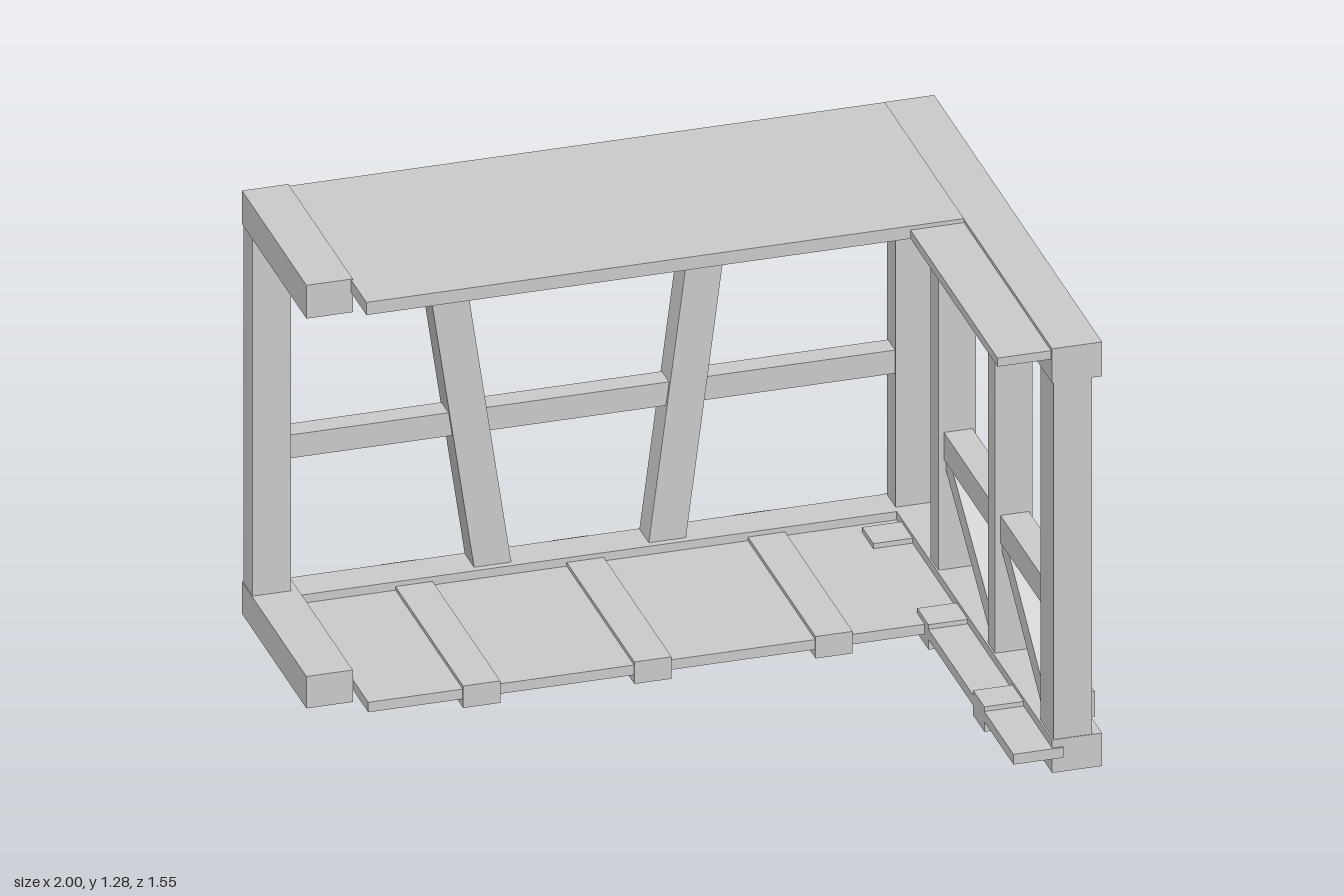
import * as THREE from 'three';

const material = new THREE.MeshStandardMaterial({ color: 0xcccccc, flatShading: true });

export function createModel() {
  const model = new THREE.Group();
  model.name = 'timberFrame';

  const add = (name, geometry) => {
    const mesh = new THREE.Mesh(geometry, material);
    mesh.name = name;
    model.add(mesh);
    return mesh;
  };

  // Box given by its ranges along x, y and z
  const beam = (name, [x0, x1], [y0, y1], [z0, z1]) => {
    const mesh = add(name, new THREE.BoxGeometry(x1 - x0, y1 - y0, z1 - z0));
    mesh.position.set((x0 + x1) / 2, (y0 + y1) / 2, (z0 + z1) / 2);
  };

  // Flat outline in (x, y), extruded from depth d0 to d1
  const slab = (points, d0, d1) => {
    const shape = new THREE.Shape(points.map(([a, b]) => new THREE.Vector2(a, b)));
    return new THREE.ExtrudeGeometry(shape, { depth: d1 - d0, bevelEnabled: false }).translate(0, 0, d0);
  };

  // Lower and upper rings of beams
  for (const [name, y0, y1] of [['lower', 0.008, 0.1], ['upper', 1.18, 1.276]]) {
    beam(name + 'BackBeam', [-0.87, 0.8], [y0, y1], [-0.748, -0.64]);
    beam(name + 'LeftBeam', [-1, -0.87], [y0, y1 + 0.004], [-0.755, -0.17]);
    beam(name + 'RightBeam', [0.8, 0.94], [y0 - 0.007, y1], [-0.753, 0.77]);
  }

  // Upper deck and its narrow return along the right side
  beam('upperDeck', [-0.875, 0.8], [1.24, 1.278], [-0.748, -0.03]);
  beam('upperDeckReturn', [0.65, 0.8], [1.24, 1.266], [-0.03, 0.76]);

  // Floor, carried by joists whose ends poke out of the beams
  beam('floor', [-0.87, 0.8], [0.045, 0.075], [-0.66, -0.03]);
  beam('floorReturn', [0.69, 0.83], [0.045, 0.076], [-0.03, 0.775]);
  for (const x of [-0.553, -0.073, 0.435]) {
    beam('backJoist', [x - 0.052, x + 0.052], [0.02, 0.086], [-0.776, -0.026]);
  }
  for (const z of [0.46, -0.047, -0.547]) {
    beam('sideJoist', [0.69, 1], [0.015, 0.09], [z - 0.051, z + 0.051]);
  }

  // Upright posts
  const postY = [0.09, 1.19];
  beam('backLeftPost', [-0.998, -0.89], postY, [-0.745, -0.665]);
  beam('backRightPost', [0.805, 0.925], postY, [-0.745, -0.665]);
  beam('frontRightPost', [0.805, 0.912], postY, [0.65, 0.768]);
  beam('sidePost', [0.805, 0.91], postY, [0.17, 0.236]);
  beam('sidePost', [0.805, 0.91], postY, [-0.35, -0.276]);

  // Middle rails
  beam('backRail', [-0.89, 0.81], [0.5, 0.57], [-0.735, -0.67]);
  beam('sideRail', [0.82, 0.9], [0.43, 0.512], [-0.276, 0.65]);

  // Leaning braces of the back wall: x at foot and at head
  for (const [foot, head] of [[-0.325, -0.485], [0.162, 0.302]]) {
    const w = 0.052;
    add('backBrace', slab([[foot - w, 0.09], [foot + w, 0.09], [head + w, 1.19], [head - w, 1.19]], -0.745, -0.66));
  }

  // Diagonal braces below the side rail, drawn in (-z, y) and turned to face +x
  for (const [z0, z1] of [[0.65, 0.236], [0.17, -0.276]]) {
    const outline = [
      [-z0, 0.1], [-z0 + 0.04, 0.1], [-z1, 0.4],
      [-z1, 0.43], [-z1 - 0.056, 0.43], [-z0, 0.146],
    ];
    add('sideBrace', slab(outline, 0.825, 0.892).rotateY(Math.PI / 2));
  }

  return model;
}
